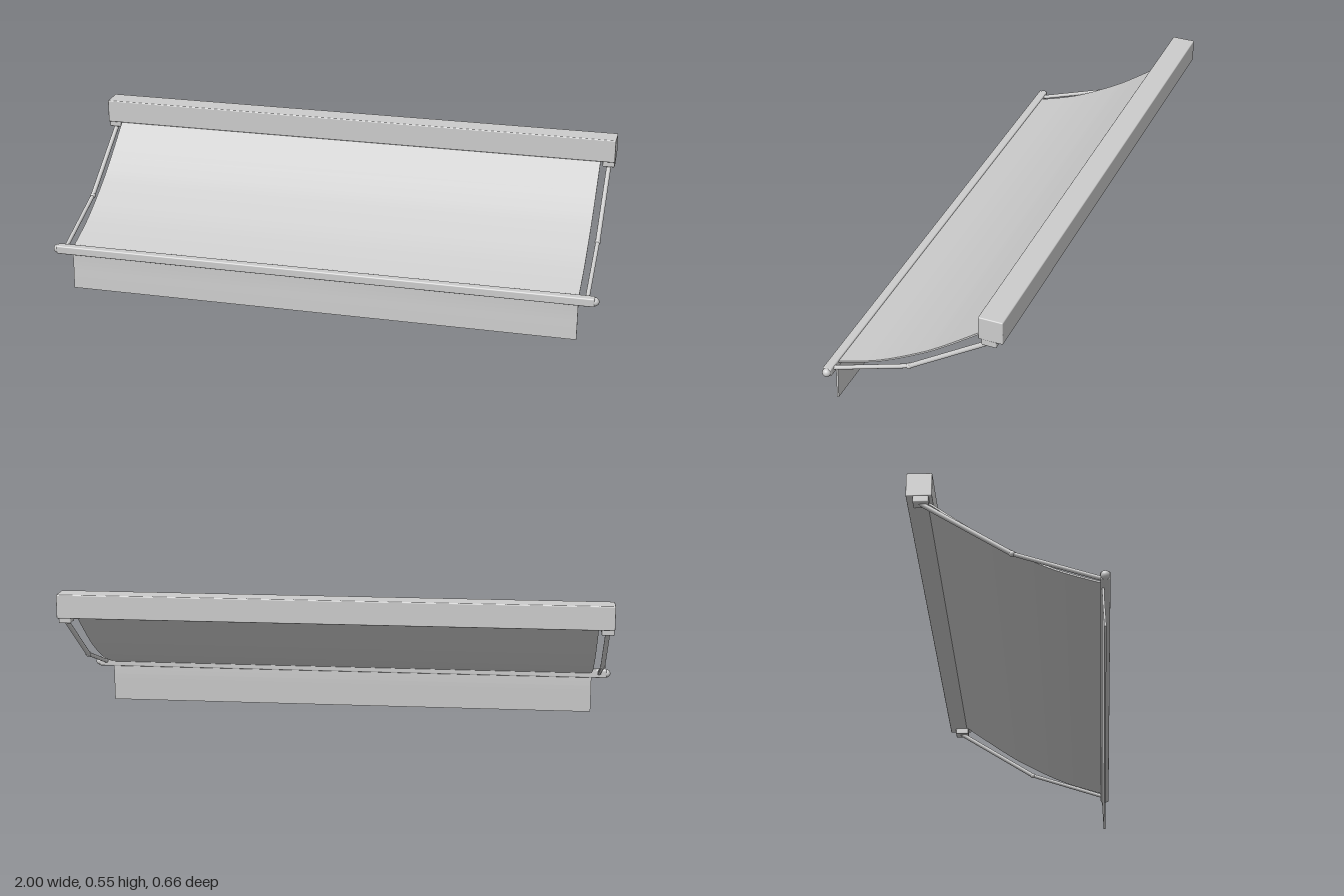
import * as THREE from 'three';
import { RoundedBoxGeometry } from 'three/addons/geometries/RoundedBoxGeometry.js';

const material = new THREE.MeshStandardMaterial({ color: 0xcccccc });
const sheetMaterial = new THREE.MeshStandardMaterial({ color: 0xcccccc, side: THREE.DoubleSide });

function add(parent, name, geometry, x = 0, y = 0, z = 0, mat = material) {
  const mesh = new THREE.Mesh(geometry, mat);
  mesh.name = name;
  mesh.position.set(x, y, z);
  parent.add(mesh);
  return mesh;
}

// Round rod between two points
function rod(parent, name, a, b, radius) {
  const dir = b.clone().sub(a);
  const mesh = add(parent, name, new THREE.CylinderGeometry(radius, radius, dir.length(), 20));
  mesh.position.copy(a).add(b).multiplyScalar(0.5);
  mesh.quaternion.setFromUnitVectors(new THREE.Vector3(0, 1, 0), dir.normalize());
}

// Thin cloth of constant thickness following a [z, y] path, spanning the width in x
function cloth(path, width, thickness, steps) {
  const curve = new THREE.SplineCurve(path.map(([z, y]) => new THREE.Vector2(-z, y)));
  const upper = [], lower = [];
  for (let i = 0; i <= steps; i++) {
    const p = curve.getPoint(i / steps), t = curve.getTangent(i / steps);
    const n = new THREE.Vector2(-t.y, t.x).multiplyScalar(thickness / 2);
    upper.push(p.clone().add(n));
    lower.unshift(p.clone().sub(n));
  }
  const geometry = new THREE.ExtrudeGeometry(new THREE.Shape([...upper, ...lower]), {
    depth: width, bevelEnabled: false, steps: 1,
  });
  geometry.translate(0, 0, -width / 2);
  geometry.rotateY(Math.PI / 2);
  return geometry;
}

export function createModel() {
  const model = new THREE.Group();
  model.name = 'retractableAwning';

  // Wall cassette
  add(model, 'cassette', new RoundedBoxGeometry(1.96, 0.086, 0.086, 3, 0.004), 0, 0.503, -0.285);

  // Sagging canopy and hanging valance
  const canopyPath = [[-0.265, 0.469], [-0.25, 0.457], [-0.1, 0.348], [0, 0.285], [0.15, 0.209], [0.31, 0.155]];
  add(model, 'canopy', cloth(canopyPath, 1.856, 0.006, 32), 0, 0, 0, sheetMaterial);
  const valancePath = [[0.307, 0.148], [0.307, 0.1], [0.309, 0.05], [0.311, 0.001]];
  add(model, 'valance', cloth(valancePath, 1.856, 0.007, 10), 0, 0, 0, sheetMaterial);

  // Front bar
  add(model, 'frontBar', new RoundedBoxGeometry(1.97, 0.031, 0.032, 4, 0.005), 0, 0.1525, 0.314);

  // Brackets, folding arms and bar end caps on both sides
  for (const [side, s] of [['left', 1], ['right', -1]]) {
    const arm = new THREE.Group();
    arm.name = side + 'Arm';
    model.add(arm);
    const x = s * 0.957;
    const shoulder = new THREE.Vector3(x, 0.446, -0.285);
    const elbow = new THREE.Vector3(x, 0.251, 0.018);
    const wrist = new THREE.Vector3(x, 0.153, 0.31);
    add(arm, 'bracket', new RoundedBoxGeometry(0.044, 0.026, 0.052, 3, 0.004), x, 0.451, -0.279);
    rod(arm, 'upperArm', shoulder, elbow, 0.0085);
    rod(arm, 'forearm', elbow, wrist, 0.0075);
    add(arm, 'elbowJoint', new THREE.SphereGeometry(0.0105, 20, 14), x, elbow.y, elbow.z);
    add(arm, 'barEndCap', new THREE.SphereGeometry(0.0155, 24, 16), s * 0.9845, 0.1525, 0.314);
  }
  return model;
}
